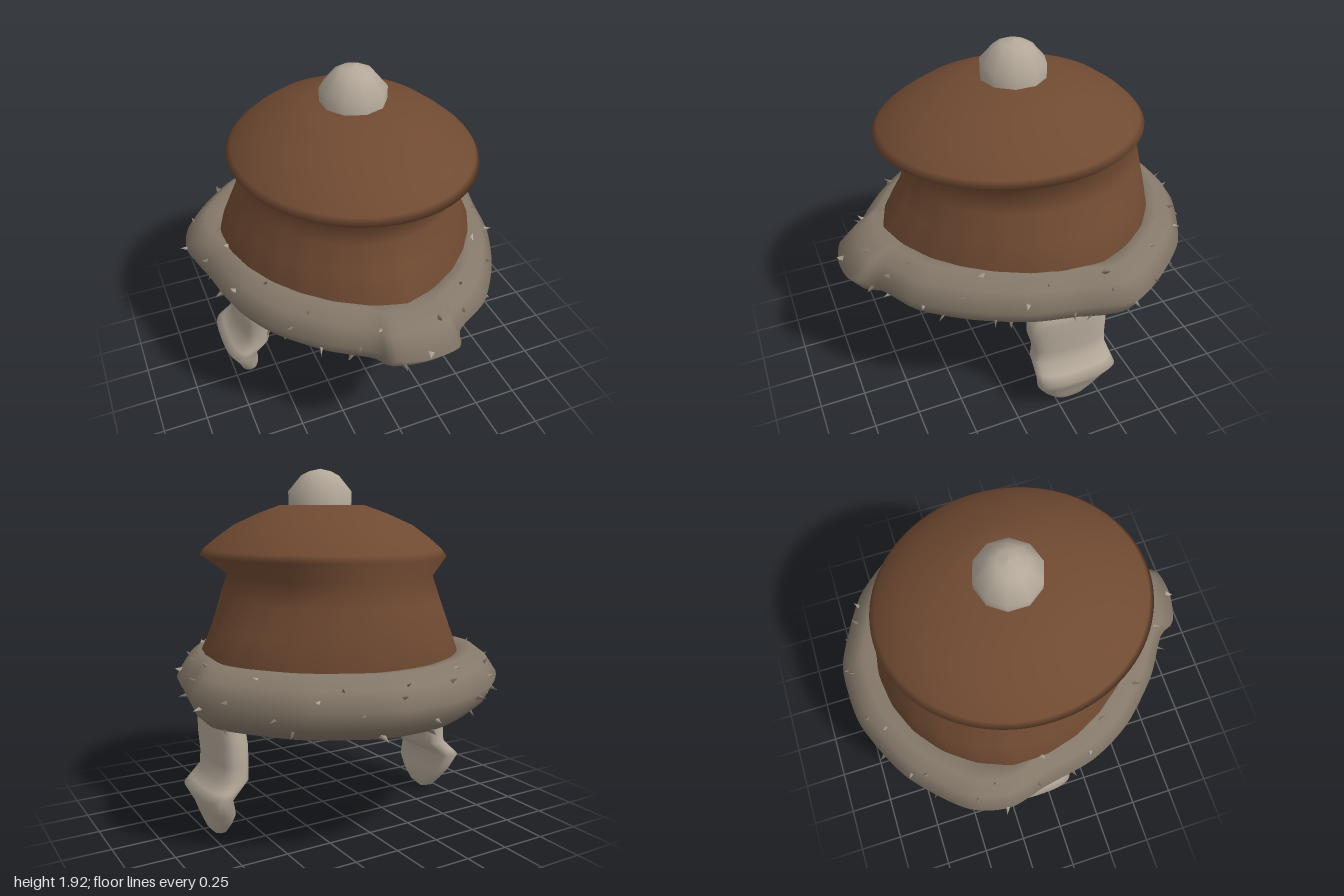
import * as THREE from 'three';
import { mergeGeometries } from 'three/addons/utils/BufferGeometryUtils.js';

// Skin a grid of rows; every row is a closed loop, wrapRows also joins last row to first
function loft(rows, wrapRows = false) {
  const n = rows[0].length, m = rows.length, index = [];
  for (let r = 0; r < (wrapRows ? m : m - 1); r++) {
    for (let i = 0; i < n; i++) {
      const a = r * n + i, b = r * n + (i + 1) % n;
      const d = ((r + 1) % m) * n + i, c = ((r + 1) % m) * n + (i + 1) % n;
      index.push(a, b, c, a, c, d);
    }
  }
  const g = new THREE.BufferGeometry();
  g.setAttribute('position', new THREE.Float32BufferAttribute(rows.flat(2), 3));
  g.setIndex(index);
  g.computeVertexNormals();
  return g;
}

// Horizontal oval loop; power below 1 makes it boxier, pinch narrows the front corners
function oval(cx, y, cz, rx, rz, n, { power = 1, pinch = 0, ripple = 0 } = {}) {
  const soft = v => Math.sign(v) * Math.abs(v) ** power;
  return Array.from({ length: n }, (_, i) => {
    const a = i / n * Math.PI * 2, s = Math.sin(a), c = Math.cos(a);
    const k = 1 + ripple * Math.cos(i * Math.PI / 2) - pinch * Math.abs(s) * Math.max(0, c + 0.25);
    return [cx + rx * k * soft(s), y, cz + rz * k * soft(c)];
  });
}

function seeded(seed) {
  return () => (seed = (seed * 16807) % 2147483647) / 2147483647;
}

export function createModel() {
  const group = new THREE.Group();
  const leather = new THREE.MeshStandardMaterial({ color: 0x704a32, side: THREE.DoubleSide });
  const fur = new THREE.MeshStandardMaterial({ color: 0x85796a });
  const paleFur = new THREE.MeshStandardMaterial({ color: 0xb3a899 });
  leather.name = 'brown leather';
  fur.name = 'dark fur';
  paleFur.name = 'pale fur';
  const add = (name, geometry, material) => {
    const mesh = new THREE.Mesh(geometry, material);
    mesh.name = name;
    group.add(mesh);
    return mesh;
  };

  // Crown with overhanging soft top: y, front z, back z, half width, front pinch, ripple
  add('crown', loft([
    [0.82, 0.73, -0.78, 0.73, 0.14], [0.97, 0.73, -0.78, 0.73, 0.14, 0.003],
    [1.1, 0.62, -0.76, 0.65, 0.05, 0.003], [1.25, 0.58, -0.73, 0.58, 0, 0.002],
    [1.37, 0.54, -0.69, 0.54], [1.47, 0.73, -0.73, 0.66],
    [1.505, 0.7, -0.7, 0.635], [1.56, 0.63, -0.64, 0.57],
    [1.63, 0.52, -0.54, 0.475], [1.69, 0.37, -0.39, 0.35], [1.735, 0.21, -0.23, 0.24],
    [1.742, 0.001, -0.021, 0.001],
  ].map(([y, front, back, rx, pinch, ripple]) =>
    oval(0.01, y, (front + back) / 2, rx, (front - back) / 2, 96, { pinch, ripple }))), leather);

  // Pompom
  const bobble = add('pompom', new THREE.LatheGeometry([
    [0.175, 1.7], [0.177, 1.81], [0.105, 1.895], [0.06, 1.917], [0, 1.93],
  ].map(p => new THREE.Vector2(...p)), 10), paleFur);
  bobble.position.set(0.025, 0, -0.014);

  // Fur brim: plan outline (x, z) from the front round by the left side
  const outline = new THREE.CatmullRomCurve3([
    [0.02, 1], [0.19, 0.98], [0.25, 0.87], [0.47, 0.735], [0.66, 0.49], [0.8, 0.2],
    [0.86, -0.06], [0.91, -0.3], [0.82, -0.5], [0.58, -0.78], [0.22, -0.97],
    [0, -0.99], [-0.22, -0.96], [-0.55, -0.8], [-0.82, -0.53], [-0.89, -0.3],
    [-0.84, -0.08], [-0.78, 0.22], [-0.65, 0.47], [-0.43, 0.7], [-0.21, 0.85], [-0.15, 0.95],
  ].map(([x, z]) => new THREE.Vector3(x, 0, z)), true, 'catmullrom', 0.4);
  const count = 140;
  // Section: inset, height, share of the front bulge
  const section = [
    [0, 0.82, 1], [0.06, 0.91, 0.6], [0.14, 0.97, 0.45], [0.26, 0.95, 0],
    [0.32, 0.83, 0], [0.27, 0.71, 0], [0.115, 0.66, 0.25], [0.05, 0.72, 0.8],
  ];
  const brim = loft(section.map(([inset, y, bulge]) =>
    Array.from({ length: count }, (_, i) => {
      const p = outline.getPointAt(i / count);
      const base = Math.min(p.z, 0.86);
      const z = base + (p.z - base) * bulge;
      const k = 1 - inset / Math.hypot(p.x, base);
      return [p.x * k, y, z - base * (1 - k)];
    })), true);
  add('furBrim', brim, fur);

  // Tufts standing out of the brim, scattered between neighbouring rows
  const random = seeded(77);
  const up = new THREE.Vector3(0, 1, 0);
  const tufts = [[], []];
  const bands = [[0, 1], [1, 2], [0, 7], [7, 6]];
  const read = (name, v) => new THREE.Vector3().fromBufferAttribute(brim.attributes[name], v);
  for (let i = 0; i < 60; i++) {
    const [rowA, rowB] = bands[i % bands.length];
    const column = Math.floor((i + random()) / 60 * count), t = random();
    const a = rowA * count + column, b = rowB * count + column;
    const position = read('position', a).lerp(read('position', b), t);
    const normal = read('normal', a).lerp(read('normal', b), t);
    normal.y = THREE.MathUtils.clamp(normal.y, -0.35, 0.5);
    normal.x += random() * 0.9 - 0.45;
    normal.z += random() * 0.9 - 0.45;
    normal.normalize();
    const height = 0.04 + random() * 0.04;
    const cone = new THREE.ConeGeometry(0.012 + random() * 0.014, height, 4);
    cone.applyQuaternion(new THREE.Quaternion().setFromUnitVectors(up, normal));
    cone.translate(...position.addScaledVector(normal, height * 0.1).toArray());
    tufts[i % 3 ? 0 : 1].push(cone);
  }
  add('darkTufts', mergeGeometries(tufts[0]), fur);
  add('paleTufts', mergeGeometries(tufts[1]), paleFur);

  // Ear flaps: height, inner x, outer x, front z, back z
  const flapSections = [
    [0.008, 0.683, 0.693, -0.07, -0.09], [0.04, 0.652, 0.725, 0.01, -0.17],
    [0.1, 0.635, 0.748, 0.07, -0.23], [0.17, 0.63, 0.77, 0.12, -0.29],
    [0.26, 0.65, 0.82, 0.14, -0.32], [0.3, 0.605, 0.78, 0.14, -0.31],
    [0.35, 0.552, 0.728, 0.14, -0.3], [0.43, 0.55, 0.724, 0.13, -0.295],
    [0.53, 0.55, 0.724, 0.16, -0.295], [0.62, 0.555, 0.722, 0.165, -0.27],
    [0.69, 0.56, 0.715, 0.12, -0.26], [0.71, 0.63, 0.64, -0.06, -0.08],
  ];
  for (const [name, side] of [['leftEarFlap', 1], ['rightEarFlap', -1]]) {
    add(name, loft(flapSections.map(([y, x0, x1, z0, z1]) => oval(
      0.02 + side * (x0 + x1) / 2, y, (z0 + z1) / 2,
      (x1 - x0) / 2, (z0 - z1) / 2, 24, { power: 0.75 }))), paleFur);
  }
  return group;
}
